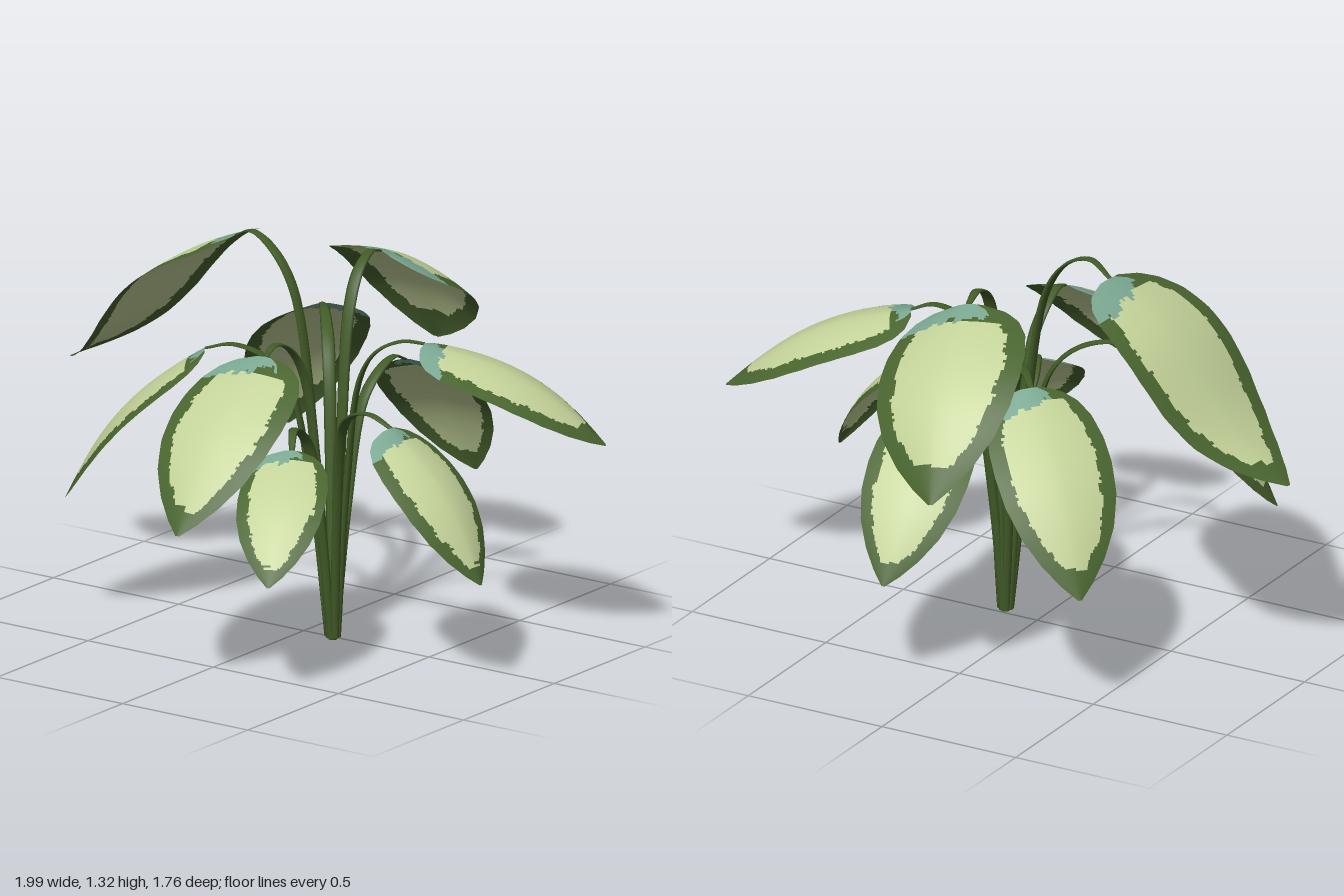
import * as THREE from 'three';

const mat = (name, color) => {
  const m = new THREE.MeshStandardMaterial({ color, side: THREE.DoubleSide });
  m.name = name;
  return m;
};
const V = (x, y, z) => new THREE.Vector3(x, y, z);
const UP = V(0, 1, 0);
const ROOT = V(0.13, 0, 0.02);

// base, tip, half width, bulge and hook (shares of length), droop of the sides, roll,
// peak height of the stem and its sideways bow
const LEAVES = [
  { base: [-0.29, 1.28, -0.03], tip: [-1.0, 0.73, -0.1], half: 0.26, bulge: 0.025, hook: 0.04, droop: 0.09, roll: -0.04, peak: 1.315, bow: 0.03 },
  { base: [-0.27, 0.95, 0.17], tip: [-0.69, 0.42, 0.36], half: 0.2, bulge: 0.09, hook: 0, droop: 0.18, roll: 0, peak: 0.97, bow: 0 },
  { base: [-0.18, 0.99, -0.35], tip: [-0.55, 0.44, -0.67], half: 0.2, bulge: 0.1, hook: 0, droop: 0.18, roll: 0, peak: 1.0, bow: 0 },
  { base: [0.07, 1.22, -0.32], tip: [-0.11, 0.76, -0.88], half: 0.245, bulge: 0.13, hook: 0, droop: 0.24, roll: 0.22, peak: 1.235, bow: 0 },
  { base: [0.15, 0.86, -0.35], tip: [0.13, 0.38, -0.77], half: 0.17, bulge: 0.09, hook: 0, droop: 0.18, roll: -0.22, peak: 0.89, bow: -0.025 },
  { base: [0.43, 1.03, -0.07], tip: [0.99, 0.73, -0.3], half: 0.195, bulge: 0.09, hook: 0, droop: 0.28, roll: 0, peak: 1.04, bow: -0.05 },
  { base: [0.47, 0.81, 0.17], tip: [0.86, 0.36, 0.21], half: 0.165, bulge: 0.1, hook: 0, droop: 0.28, roll: 0, peak: 0.84, bow: -0.05 },
  { base: [0.1, 1.03, 0.35], tip: [0.13, 0.56, 0.88], half: 0.208, bulge: 0.1, hook: 0, droop: 0.18, roll: 0, peak: 1.05, bow: -0.03 },
  { base: [0.22, 0.74, 0.37], tip: [0.4, 0.4, 0.75], half: 0.145, bulge: 0.09, hook: 0, droop: 0.18, roll: 0, peak: 0.78, bow: -0.04 },
];

// Leaf outline: share of the half width along the length
const OUTLINE = [[0, 0.2], [0.03, 0.52], [0.08, 0.73], [0.16, 0.89], [0.28, 0.98], [0.4, 1],
  [0.55, 0.95], [0.7, 0.79], [0.83, 0.54], [0.93, 0.27], [1, 0.03]];
function widthAt(t) {
  let i = 1;
  while (i < OUTLINE.length - 1 && OUTLINE[i][0] < t) i++;
  const [a, wa] = OUTLINE[i - 1], [b, wb] = OUTLINE[i];
  return wa + (wb - wa) * (t - a) / (b - a);
}

// Repeatable noise for ragged colour borders
const hash = (a, b) => {
  const s = Math.sin(a * 12.99 + b * 78.23) * 43758.55;
  return s - Math.floor(s);
};

// Curved blade with one geometry group per colour
function leafBlade({ base, tip, half, bulge, hook, droop, roll }, seed, materials) {
  const NT = 72, NV = 56;
  const p0 = V(...base), axis = V(...tip).sub(p0), len = axis.length();
  const side = UP.clone().cross(axis).normalize().applyAxisAngle(axis.clone().normalize(), roll);
  const normal = axis.clone().cross(side).normalize();
  const pos = [], cells = [[], [], []];
  for (let i = 0; i <= NT; i++) {
    const t = i / NT, w = half * widthAt(t);
    const rise = len * (bulge * Math.sin(Math.PI * t) + hook * Math.sin(2 * Math.PI * t));
    for (let j = 0; j <= NV; j++) {
      const v = j / NV * 2 - 1;
      const lift = rise - droop * w * Math.pow(Math.abs(v), 1.7);
      pos.push(...p0.clone().addScaledVector(axis, t).addScaledVector(side, w * v)
        .addScaledVector(normal, lift).toArray());
    }
  }
  for (let i = 0; i < NT; i++) {
    for (let j = 0; j < NV; j++) {
      const t = (i + 0.5) / NT, v = (j + 0.5) / NV * 2 - 1;
      const edge = Math.min((1 - Math.abs(v)) * half * widthAt(t), (1 - t) * len * 0.55, t * len * 0.75);
      const flank = v > 0 ? 1 : 2;
      const rag = hash((i >> 2) + seed * 7, flank) + 0.6 * hash(i + seed * 3, flank + 4) - 0.8;
      const ragBase = hash((j >> 2) + seed * 5, 3) - 0.5;
      let kind = edge > half * 0.25 + 0.014 * rag ? 0 : 1;
      if (v < 0.5 && t < 0.095 - 0.07 * v + 0.05 * ragBase) kind = 2;
      const a = i * (NV + 1) + j, b = a + 1, c = a + NV + 1, d = c + 1;
      cells[kind].push(a, c, b, b, c, d);
    }
  }
  const g = new THREE.BufferGeometry();
  g.setAttribute('position', new THREE.Float32BufferAttribute(pos, 3));
  g.setIndex(cells.flat());
  let start = 0;
  cells.forEach((list, k) => {
    g.addGroup(start, list.length, k);
    start += list.length;
  });
  g.computeVertexNormals();
  return new THREE.Mesh(g, materials);
}

// Arching stalk, round at the root and flattened towards the leaf
function leafStem({ base, peak, bow }, material) {
  const NS = 36, NR = 8;
  const end = V(...base), out = end.clone().sub(ROOT).setY(0);
  const foot = ROOT.clone().addScaledVector(out.clone().normalize(), 0.012);
  const side = UP.clone().cross(out).normalize();
  const at = (f, y) => foot.clone().lerp(end, f).setY(y).addScaledVector(side, bow * Math.sin(Math.PI * f));
  const curve = new THREE.CatmullRomCurve3([
    at(0, 0.01), at(0.14, 0.5 * peak), at(0.32, 0.87 * peak), at(0.52, 0.965 * peak), at(0.78, peak), end,
  ], false, 'centripetal');
  const pos = [], idx = [];
  for (let i = 0; i <= NS; i++) {
    const t = i / NS, p = curve.getPoint(t), n = curve.getTangent(t).cross(side).normalize();
    const wide = 0.013 + 0.01 * Math.sin(Math.PI * t) - 0.003 * t;
    const thick = 0.004 + 0.012 * (1 - t) * (1 - t);
    for (let j = 0; j < NR; j++) {
      const a = j / NR * Math.PI * 2;
      pos.push(...p.clone().addScaledVector(side, wide * Math.cos(a))
        .addScaledVector(n, thick * Math.sin(a)).toArray());
      if (i < NS) {
        const q = i * NR + j, r = i * NR + (j + 1) % NR;
        idx.push(q, r, q + NR, r, r + NR, q + NR);
      }
    }
  }
  const g = new THREE.BufferGeometry();
  g.setAttribute('position', new THREE.Float32BufferAttribute(pos, 3));
  g.setIndex(idx);
  g.computeVertexNormals();
  return new THREE.Mesh(g, material);
}

export function createModel() {
  const model = new THREE.Group();
  model.name = 'leafyPlant';
  const blade = [mat('paleCentre', 0xc4d39a), mat('greenMargin', 0x4a6530), mat('tealBase', 0x7ba892)];
  const stemGreen = mat('stemGreen', 0x425c28);

  LEAVES.forEach((spec, i) => {
    const leaf = new THREE.Group();
    leaf.name = `leaf${i + 1}`;
    const b = leafBlade(spec, i + 1, blade);
    b.name = 'blade';
    const s = leafStem(spec, stemGreen);
    s.name = 'stem';
    leaf.add(b, s);
    model.add(leaf);
  });

  // Root knot where the stems meet
  const root = new THREE.Mesh(new THREE.CylinderGeometry(0.028, 0.014, 0.05, 10), stemGreen);
  root.name = 'rootKnot';
  root.position.set(ROOT.x, 0.025, ROOT.z);
  model.add(root);
  return model;
}
